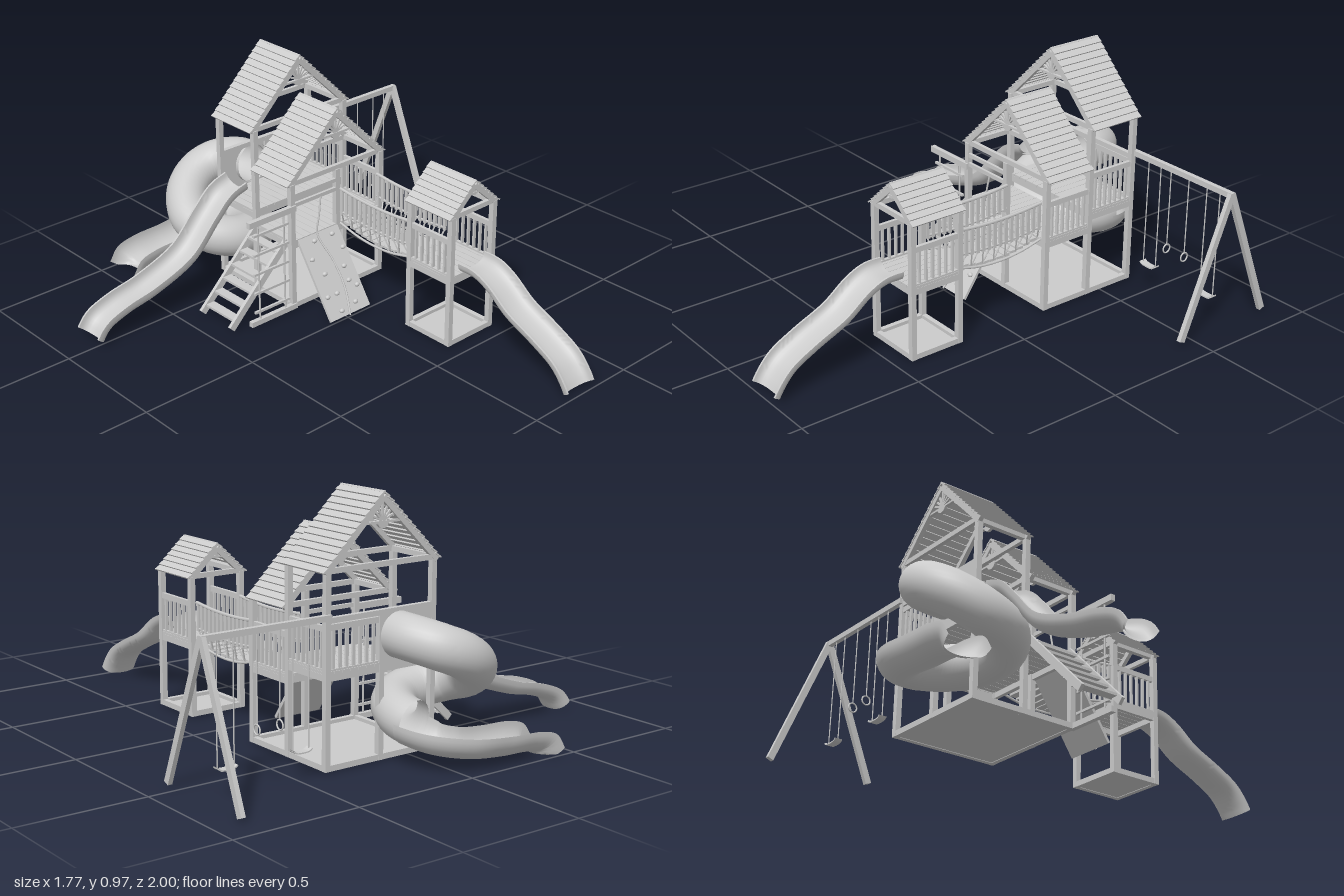
import * as THREE from 'three';
import { toCreasedNormals } from 'three/addons/utils/BufferGeometryUtils.js';

const V = (a) => new THREE.Vector3(...a);
const UP = new THREE.Vector3(0, 1, 0);
const grey = new THREE.MeshStandardMaterial({ color: 0xcccccc });
const thin = new THREE.MeshStandardMaterial({ color: 0xcccccc, side: THREE.DoubleSide });

export function createModel() {
  const root = new THREE.Group();

  function add(name, geo, mat = grey, parent = root) {
    const m = new THREE.Mesh(geo, mat);
    m.name = name;
    parent.add(m);
    return m;
  }
  function group(name) {
    const g = new THREE.Group();
    g.name = name;
    root.add(g);
    return g;
  }
  // box from its low and high corners
  function box(name, lo, hi, parent = root) {
    const m = add(name, new THREE.BoxGeometry(hi[0] - lo[0], hi[1] - lo[1], hi[2] - lo[2]), grey, parent);
    m.position.copy(V(lo)).add(V(hi)).multiplyScalar(0.5);
    return m;
  }
  // straight timber between two points
  function bar(name, a, b, w = 0.02, h = w, parent = root) {
    const p = V(a), q = V(b);
    const m = add(name, new THREE.BoxGeometry(w, h, p.distanceTo(q)), grey, parent);
    m.position.copy(p).add(q).multiplyScalar(0.5);
    m.lookAt(q);
    return m;
  }
  function rope(name, pts, r = 0.003, parent = root) {
    const curve = new THREE.CatmullRomCurve3(pts.map(V));
    return add(name, new THREE.TubeGeometry(curve, pts.length * 6, r, 6), grey, parent);
  }
  // cross-section swept along a path, kept level sideways
  function sweep(name, pts, section, n, t0 = 0, t1 = 1) {
    const curve = new THREE.CatmullRomCurve3(pts.map(V));
    const pos = [], idx = [], k = section.length;
    for (let i = 0; i <= n; i++) {
      const t = t0 + (t1 - t0) * i / n;
      const p = curve.getPointAt(t), T = curve.getTangentAt(t);
      const S = UP.clone().cross(T).normalize(), N = T.clone().cross(S);
      for (const [s, u] of section) {
        const v = p.clone().addScaledVector(S, s).addScaledVector(N, u);
        pos.push(v.x, Math.max(0, v.y), v.z);
      }
    }
    for (let i = 0; i < n; i++) for (let j = 0; j < k - 1; j++) {
      const a = i * k + j, b = a + k;
      idx.push(a, a + 1, b, b, a + 1, b + 1);
    }
    const g = new THREE.BufferGeometry();
    g.setAttribute('position', new THREE.Float32BufferAttribute(pos, 3));
    g.setIndex(idx);
    return add(name, toCreasedNormals(g, 0.8), thin);
  }
  const arc = (r, a, n) => Array.from({ length: n + 1 }, (_, i) => {
    const t = -a + 2 * a * i / n;
    return [r * Math.sin(t), -r * Math.cos(t)];
  });
  // closed U-shaped channel section with its floor at zero
  function channel(w, d) {
    const u = (k) => arc(1, Math.PI / 2, 14).map(([s, c]) =>
      [(w - k) * Math.sign(s) * Math.abs(s) ** 0.8, d - (d - k) * Math.abs(c) ** 0.8]);
    const outer = u(0);
    return [...outer, ...u(0.008).reverse(), outer[0]];
  }
  // railing with balusters between two floor points
  function railing(name, p, q, h, n) {
    const g = group(name);
    const at = (t, y) => [p[0] + (q[0] - p[0]) * t, p[1] + y, p[2] + (q[2] - p[2]) * t];
    bar('bottomRail', at(0, 0.01), at(1, 0.01), 0.014, 0.024, g);
    bar('topRail', at(0, h - 0.01), at(1, h - 0.01), 0.014, 0.022, g);
    for (let i = 0; i < n; i++) bar('baluster', at((i + 0.7) / (n + 0.4), 0.01), at((i + 0.7) / (n + 0.4), h - 0.01), 0.012, 0.008, g);
  }
  // pitched roof of lapped boards, with gable rafters and a fan ornament
  function roof(name, xc, run, eave, rise, z0, z1, rows) {
    const g = group(name), ridge = eave + rise, slope = Math.atan2(rise, run);
    const step = Math.hypot(run, rise) / rows;
    for (const s of [-1, 1]) {
      for (let i = 0; i < rows; i++) {
        const t = (i + 0.5) / rows;
        const m = add('roofBoard', new THREE.BoxGeometry(step * 1.2, 0.006, z1 - z0), grey, g);
        m.position.set(xc + s * run * t, ridge - rise * t, (z0 + z1) / 2);
        m.rotation.z = -s * (slope - 0.2);
      }
      for (const z of [z0 + 0.012, z1 - 0.012])
        bar('rafter', [xc, ridge - 0.02, z], [xc + s * (run - 0.01), eave - 0.005, z], 0.018, 0.024, g);
      const x = xc + s * (run - 0.03);
      box('eaveBeam', [x - 0.01, eave - 0.005, z0 + 0.01], [x + 0.01, eave + 0.015, z1 - 0.01], g);
    }
    const f = rise * 0.4;
    for (const z of [z0 + 0.012, z1 - 0.012]) {
      box('tieBeam', [xc - run + 0.02, eave - 0.005, z - 0.008], [xc + run - 0.02, eave + 0.015, z + 0.008], g);
      box('fanBase', [xc - f, ridge - f - 0.008, z - 0.006], [xc + f, ridge - f, z + 0.006], g);
      const hub = add('fanHub', new THREE.CylinderGeometry(f * 0.25, f * 0.25, 0.012, 16, 1, false, Math.PI / 2, Math.PI), grey, g);
      hub.rotation.x = Math.PI / 2;
      hub.rotation.y = Math.PI;
      hub.position.set(xc, ridge - f, z);
      for (let i = 1; i < 8; i++) {
        const a = Math.PI * i / 8, r = f / (Math.sin(a) + Math.abs(Math.cos(a)));
        bar('fanSpoke', [xc, ridge - f, z], [xc + r * Math.cos(a), ridge - f + r * Math.sin(a), z], 0.007, 0.007, g);
      }
    }
  }
  // posts, ground frame and floor of a tower
  function frame(name, xs, zs, tops) {
    const g = group(name), x0 = xs[0], x1 = xs.at(-1), z0 = zs[0], z1 = zs.at(-1);
    zs.forEach((z, i) => xs.forEach((x, j) => {
      const top = j > 0 && j < xs.length - 1 ? 0.545 : tops[i];
      if (i === 0 || i === zs.length - 1 || j === 0 || j === xs.length - 1)
        box('post', [x - 0.011, 0, z - 0.011], [x + 0.011, top, z + 0.011], g);
    }));
    for (const z of [z0, z1]) box('groundBeam', [x0, 0, z - 0.01], [x1, 0.022, z + 0.01], g);
    for (const x of [x0, x1]) box('groundBeam', [x - 0.01, 0, z0], [x + 0.01, 0.022, z1], g);
    box('groundPanel', [x0, 0.002, z0], [x1, 0.008, z1], g);
  }
  function deck(name, x0, x1, z0, z1, y, n) {
    const g = group(name), w = (x1 - x0) / n;
    for (let i = 0; i < n; i++) box('deckBoard', [x0 + i * w + 0.001, y - 0.012, z0], [x0 + (i + 1) * w - 0.001, y, z1], g);
    for (const z of [z0 + 0.008, z1 - 0.008]) box('joist', [x0, y - 0.035, z - 0.008], [x1, y - 0.01, z + 0.008], g);
    for (const x of [x0 + 0.008, x1 - 0.008]) box('joist', [x - 0.008, y - 0.035, z0], [x + 0.008, y - 0.01, z1], g);
  }

  // main tower
  frame('mainFrame', [-0.11, 0.13, 0.368], [-0.65, -0.43, -0.21], [0.71, 0.71, 0.55]);
  deck('frontDeck', -0.12, 0.378, -0.43, -0.2, 0.305, 14);
  deck('backDeck', -0.12, 0.378, -0.66, -0.43, 0.36, 14);
  roof('frontRoof', 0.128, 0.262, 0.548, 0.26, -0.425, -0.2, 13);
  roof('tallRoof', 0.128, 0.262, 0.708, 0.262, -0.665, -0.42, 13);
  railing('rightFrontRailing', [0.368, 0.29, -0.42], [0.368, 0.29, -0.22], 0.17, 7);
  railing('rightBackRailing', [0.368, 0.345, -0.64], [0.368, 0.345, -0.44], 0.175, 7);
  railing('backRailing', [0.14, 0.345, -0.65], [0.36, 0.345, -0.65], 0.18, 7);
  for (const y of [0.46, 0.5]) box('frontBoard', [-0.11, y - 0.008, -0.212], [0.13, y + 0.008, -0.2]);
  box('backBeam', [-0.11, 0.53, -0.66], [0.368, 0.55, -0.64]);

  // panel around the tube entrance
  const panel = new THREE.Shape([[-0.11, 0.345], [0.13, 0.345], [0.13, 0.545], [-0.11, 0.545]].map((p) => new THREE.Vector2(...p)));
  panel.holes.push(new THREE.Path().absarc(0.047, 0.45, 0.08, 0, Math.PI * 2, true));
  add('tubeEntrancePanel', new THREE.ExtrudeGeometry(panel, { depth: 0.01, bevelEnabled: false, curveSegments: 24 })).position.z = -0.66;

  // small tower
  frame('smallFrame', [0.137, 0.365], [0.21, 0.425], [0.555, 0.555]);
  deck('smallDeck', 0.127, 0.375, 0.2, 0.435, 0.305, 8);
  roof('smallRoof', 0.25, 0.134, 0.553, 0.125, 0.198, 0.438, 7);
  for (const x of [0.137, 0.365]) railing('smallRailing', [x, 0.29, 0.22], [x, 0.29, 0.415], 0.17, 6);

  // hanging bridge
  const bridge = group('bridge');
  const sag = (z) => 1 - (z / 0.2) ** 2;
  for (let i = 0; i < 12; i++) {
    const z = -0.2 + 0.4 * (i + 0.5) / 12, y = 0.305 - 0.03 * sag(z);
    box('bridgePlank', [0.163, y - 0.01, z - 0.0155], [0.327, y, z + 0.0155], bridge);
  }
  for (const x of [0.143, 0.347]) {
    const line = (y, d) => [-0.2, -0.1, 0, 0.1, 0.2].map((z) => [x, y - d * sag(z), z]);
    rope('bridgeTopRope', line(0.455, 0.012), 0.007, bridge);
    rope('bridgeMiddleRope', line(0.355, 0.012), 0.005, bridge);
    rope('bridgeLowRope', line(0.3, 0.03), 0.005, bridge);
    for (let i = 0; i < 15; i++) {
      const z = -0.19 + 0.38 * i / 14, d = 0.012 * sag(z), z2 = z + (i % 2 ? 0.013 : -0.013);
      bar('bridgeSlat', [x, 0.345 - d, z], [x, 0.455 - d, z], 0.01, 0.014, bridge);
      bar('bridgeTie', [x, 0.345 - d, z], [x + Math.sign(0.245 - x) * 0.02, 0.3 - 0.03 * sag(z2), z2], 0.005, 0.005, bridge);
    }
  }

  // open slides
  sweep('frontSlide', [[0.43, 0.3], [0.5, 0.298], [0.56, 0.272], [0.66, 0.2], [0.8, 0.135], [0.89, 0.085], [0.935, 0.035], [0.955, 0.003]]
    .map(([z, y]) => [0.248, y, z]), channel(0.077, 0.05), 60);
  sweep('sideSlide', [[-0.1, 0.415], [-0.17, 0.39], [-0.24, 0.325], [-0.375, 0.19], [-0.57, 0.11], [-0.715, 0.077], [-0.8, 0.043], [-0.832, 0.003]]
    .map(([x, y]) => [x, y, -0.545]), channel(0.071, 0.058), 70);

  // spiral tube slide running out into an open trough
  const spiral = [[0.052, 0.452, -0.64], [0.045, 0.448, -0.73], [-0.01, 0.425, -0.815], [-0.09, 0.39, -0.837], [-0.18, 0.335, -0.8],
    [-0.238, 0.27, -0.7], [-0.22, 0.235, -0.6], [-0.14, 0.21, -0.545], [-0.03, 0.19, -0.56], [0.05, 0.175, -0.64], [0.078, 0.16, -0.74],
    [0.04, 0.14, -0.85], [-0.06, 0.12, -0.905], [-0.2, 0.105, -0.913], [-0.33, 0.098, -0.913], [-0.41, 0.075, -0.913], [-0.45, 0.02, -0.913]];
  sweep('tubeSlide', spiral, arc(0.085, Math.PI, 28), 110, 0, 0.64);
  sweep('tubeSlideExit', spiral, arc(0.086, Math.PI * 0.52, 18), 60, 0.63, 1);

  // climbing wall with holds and rope
  const wall = group('climbingWall');
  bar('wallPanel', [0.019, 0.004, -0.008], [0.019, 0.298, -0.205], 0.212, 0.012, wall);
  for (const [x, y] of [[-0.015, 0.28], [0.08, 0.28], [-0.03, 0.165], [0.075, 0.165], [-0.06, 0.225], [0.105, 0.225],
    [-0.06, 0.09], [0.1, 0.09], [-0.01, 0.09], [0.06, 0.04], [-0.02, 0.03], [0.07, 0.115]]) {
    const hold = add('climbingHold', new THREE.SphereGeometry(0.012, 10, 8), grey, wall);
    hold.scale.set(1, 0.8, 0.8);
    hold.position.set(x, y, -0.67 * y + 0.006);
  }
  rope('climbingRope', [[0.035, 0.455, -0.2], [0.022, 0.38, -0.195], [0.008, 0.3, -0.19], [0.03, 0.2, -0.12], [0.03, 0.1, -0.05], [0.005, 0.01, 0.008]], 0.004, wall);

  // step ladder
  const stairs = group('stepLadder');
  for (const z of [-0.415, -0.232]) bar('stringer', [-0.415, 0.008, z], [-0.118, 0.3, z], 0.014, 0.03, stairs);
  for (let i = 0; i < 6; i++) {
    const t = (i + 0.8) / 6.6, x = -0.415 + 0.297 * t, y = 0.3 * t;
    box('tread', [x - 0.02, y - 0.005, -0.415], [x + 0.02, y + 0.005, -0.232], stairs);
  }

  // rope ladder on its beam
  const net = group('ropeLadder');
  box('ladderBeam', [-0.338, 0.438, -0.212], [-0.1, 0.463, -0.192], net);
  box('ladderGroundBeam', [-0.338, 0, -0.212], [-0.1, 0.022, -0.192], net);
  for (const x of [-0.29, -0.158]) rope('ladderRope', [[x, 0.44, -0.202], [x, 0.02, -0.202]], 0.004, net);
  for (let i = 0; i < 5; i++) bar('rung', [-0.315, 0.395 - i * 0.085, -0.202], [-0.135, 0.395 - i * 0.085, -0.202], 0.01, 0.01, net);

  // swing frame
  const swing = group('swingSet');
  bar('swingBeam', [0.36, 0.553, -0.662], [0.895, 0.553, -0.662], 0.02, 0.022, swing);
  for (const z of [-0.442, -0.882]) bar('swingLeg', [0.886, 0.008, z], [0.886, 0.558, -0.662], 0.018, 0.026, swing);
  for (const x of [0.487, 0.797]) {
    for (const s of [-1, 1]) rope('swingRope', [[x + s * 0.033, 0.545, -0.662], [x + s * 0.034, 0.105, -0.662]], 0.0025, swing);
    const seat = sweep('swingSeat', [[x - 0.04, 0.106, -0.662], [x - 0.03, 0.098, -0.662], [x, 0.095, -0.662], [x + 0.03, 0.098, -0.662], [x + 0.04, 0.106, -0.662]],
      [[-0.016, 0], [0.016, 0], [0.016, 0.005], [-0.016, 0.005], [-0.016, 0]], 12);
    swing.add(seat);
  }
  for (const x of [0.575, 0.67]) {
    rope('ringRope', [[x, 0.545, -0.662], [x, 0.23, -0.662]], 0.0025, swing);
    const ring = add('handRing', new THREE.TorusGeometry(0.018, 0.003, 8, 20), grey, swing);
    ring.rotation.y = Math.PI / 2;
    ring.position.set(x, 0.21, -0.662);
  }
  return root;
}
